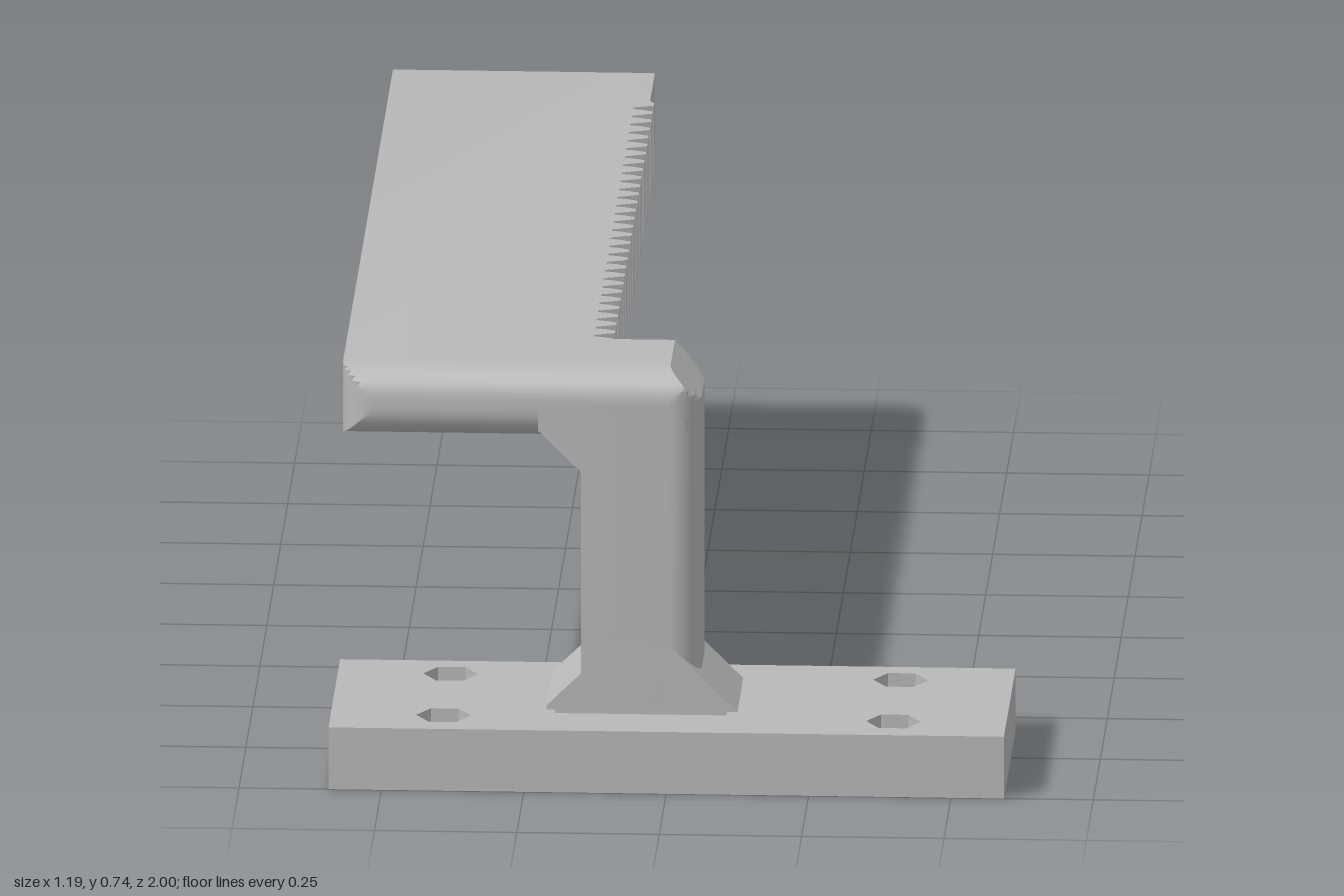
import * as THREE from 'three';
import { toCreasedNormals } from 'three/addons/utils/BufferGeometryUtils.js';

const ARM_LOW = 0.61, ARM_TOP = 0.737, BACK = -1, FRONT = 0.895, INNER = 0.685;
const LEFT = -0.575, EDGE = -0.115, OUTER = 0.055, R = 0.055, STEPS = 8;

// Quarter-circle corner, from angle a0 (degrees) counter-clockwise seen from above
function corner(cx, cz, a0) {
  return Array.from({ length: STEPS + 1 }, (_, i) => {
    const a = THREE.MathUtils.degToRad(a0 + (90 * i) / STEPS);
    return new THREE.Vector2(cx + R * Math.cos(a), cz - R * Math.sin(a));
  });
}

// Stack a plan outline (x, z) at several heights; limit(p, y) trims each layer
function stack(plan, heights, limit) {
  const n = plan.length, pos = [], index = [];
  for (const y of heights) for (const p of plan) {
    const [x, z] = limit(p, y);
    pos.push(x, y, z);
  }
  for (let k = 0; k < heights.length - 1; k++) for (let i = 0; i < n; i++) {
    const j = (i + 1) % n, a = k * n + i, b = k * n + j;
    index.push(a, b, b + n, a, b + n, a + n);
  }
  const top = (heights.length - 1) * n;
  const flat = plan.map((p) => new THREE.Vector2(p.x, -p.y));
  for (const [a, b, c] of THREE.ShapeUtils.triangulateShape(flat, [])) {
    index.push(top + a, top + b, top + c, a, c, b);
  }
  const g = new THREE.BufferGeometry();
  g.setAttribute('position', new THREE.Float32BufferAttribute(pos, 3));
  g.setIndex(index);
  return toCreasedNormals(g, 0.5);
}

// Extrude a side profile (x, y) across the depth of the post
function prism(points, z0, z1) {
  const s = new THREE.Shape(points.map(([x, y]) => new THREE.Vector2(x, y)));
  return new THREE.ExtrudeGeometry(s, { depth: z1 - z0, bevelEnabled: false }).translate(0, 0, z0);
}

// Slab with four holes of the given radius and side count
function slab(y0, y1, radius, sides) {
  const s = new THREE.Shape([[-0.593, -1], [0.593, -1], [0.593, -0.58], [-0.593, -0.58]]
    .map(([x, y]) => new THREE.Vector2(x, y)));
  for (const x of [-0.395, 0.395]) for (const z of [0.66, 0.915]) {
    const ring = [];
    for (let i = 0; i < sides; i++) {
      const a = (-2 * Math.PI * i) / sides;
      ring.push(new THREE.Vector2(x + radius * Math.cos(a), -z + radius * Math.sin(a)));
    }
    s.holes.push(new THREE.Path(ring));
  }
  return new THREE.ExtrudeGeometry(s, { depth: y1 - y0, bevelEnabled: false })
    .rotateX(-Math.PI / 2).translate(0, y0, 0);
}

export function createModel() {
  const group = new THREE.Group();
  const grey = new THREE.MeshStandardMaterial({ color: 0xb8b8b8 });
  grey.name = 'plain grey';
  const add = (name, geometry) => {
    const m = new THREE.Mesh(geometry, grey);
    m.name = name;
    group.add(m);
  };

  // Mounting plate: round bolt holes below, hexagonal nut pockets above
  add('basePlateLower', slab(0, 0.06, 0.026, 24));
  add('basePlateUpper', slab(0.06, 0.113, 0.048, 6));

  // Flared foot on a thin pad
  add('footPad', new THREE.BoxGeometry(0.3, 0.012, 0.205).translate(-0.05, 0.116, 0.79));
  add('foot', prism([[-0.215, 0.12], [0.12, 0.12], [0, 0.24], [-0.1, 0.24], [-0.215, 0.128]], INNER, FRONT));

  // Post, rounded on its outer side, with a gusset under the arm
  const outerCorners = [
    ...corner(OUTER - R, FRONT - R, -90),
    ...corner(OUTER - R, INNER + R, 0),
  ];
  const postPlan = [
    new THREE.Vector2(-0.155, FRONT), ...outerCorners, new THREE.Vector2(-0.155, INNER),
  ];
  add('post', stack(postPlan, [0.125, 0.68], (p) => [p.x, p.y]));
  add('gusset', prism([[-0.155, 0.555], [-0.155, 0.675], [-0.23, 0.675], [-0.23, 0.63]], INNER, FRONT));

  // Toothed arm: plan outline counter-clockwise from the front left
  const plan = [...corner(LEFT + R, FRONT - R, 180), ...outerCorners, new THREE.Vector2(EDGE + 0.01, INNER)];
  const pitch = 0.05, teeth = 29;
  for (let i = 0; i < teeth; i++) {
    const z = 0.675 - i * pitch;
    for (const [x, d] of [[-0.125, 0], [-0.143, 0.005], [-0.143, 0.013], [-0.125, 0.02],
      [-0.107, 0.027], [-0.107, 0.041]]) {
      plan.push(new THREE.Vector2(x, z - d));
    }
  }
  plan.push(new THREE.Vector2(EDGE, -0.78), ...corner(EDGE - R, BACK + R, 0), ...corner(LEFT + R, BACK + R, 90));

  // Rounded front and back edges, and a chamfer over the post
  const heights = [];
  for (let i = 0; i <= STEPS; i++) heights.push(ARM_LOW + R * (1 - Math.cos((i / STEPS) * Math.PI / 2)));
  for (let i = STEPS; i >= 0; i--) heights.push(ARM_TOP - R * (1 - Math.cos((i / STEPS) * Math.PI / 2)));
  add('toothedArm', stack(plan, heights, (p, y) => {
    const t = Math.max(0, ARM_LOW + R - y, y - (ARM_TOP - R));
    const inset = R - Math.sqrt(Math.max(0, R * R - t * t));
    const xMax = OUTER - Math.max(0, y - (ARM_TOP - R));
    return [Math.min(p.x, xMax), THREE.MathUtils.clamp(p.y, BACK + inset, FRONT - inset)];
  }));

  return group;
}
